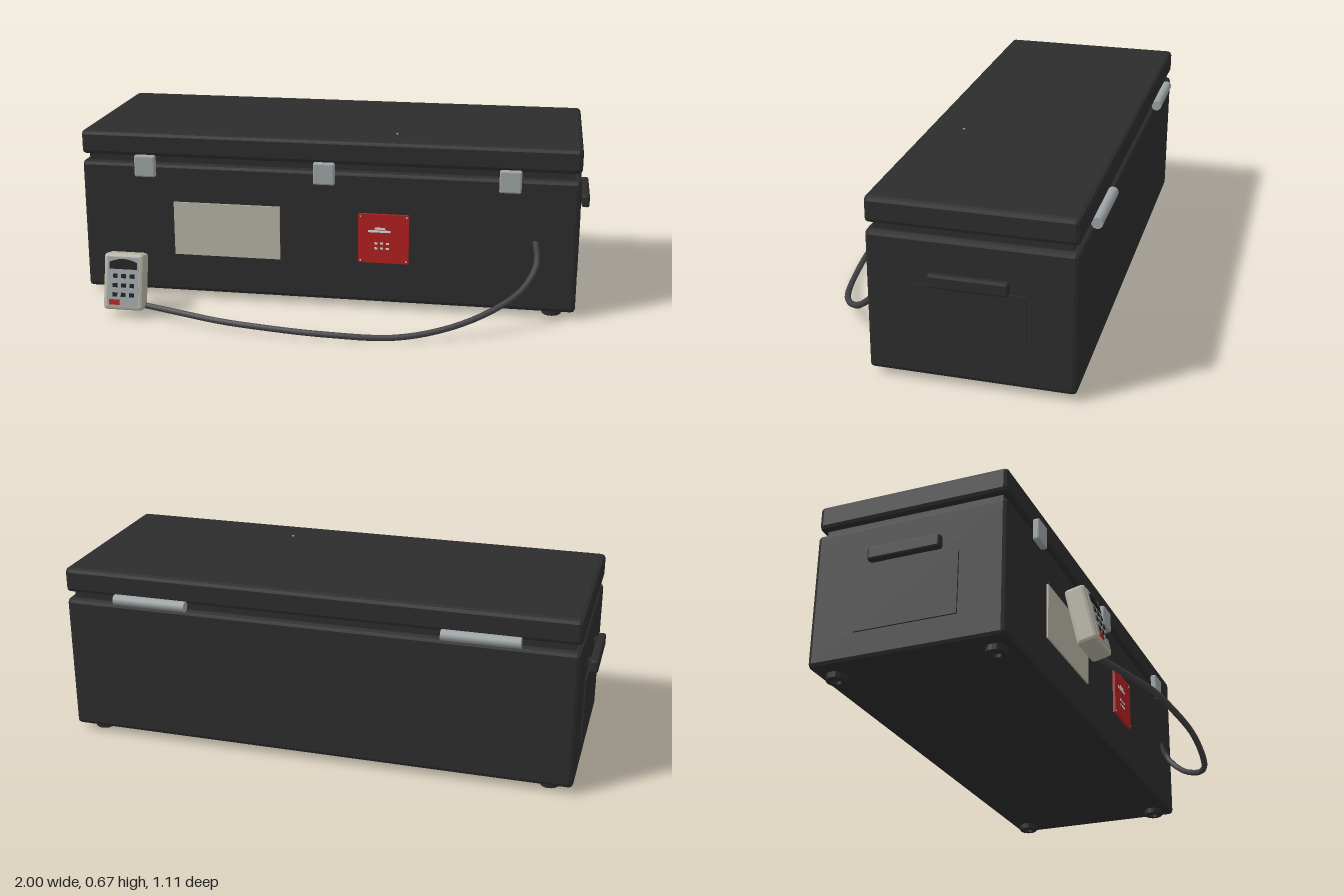
import * as THREE from 'three';
import { RoundedBoxGeometry } from 'three/addons/geometries/RoundedBoxGeometry.js';

const paint = (name, color) => Object.assign(new THREE.MeshStandardMaterial({ color }), { name });

export function createModel() {
  const root = new THREE.Group();
  root.name = 'storageChest';

  const black = paint('black shell', 0x2c2c2c);
  const rubber = paint('dark rubber', 0x1c1c1d);
  const cableGrey = paint('cable grey', 0x424245);
  const beige = paint('beige', 0xb8b4a5);
  const silver = paint('silver', 0x9da4a5);
  const red = paint('red', 0xb32020);
  const white = paint('off white', 0xdcdcd8);

  function add(name, geometry, material, x, y, z, parent = root) {
    const mesh = new THREE.Mesh(geometry, material);
    mesh.name = name;
    mesh.position.set(x, y, z);
    parent.add(mesh);
    return mesh;
  }
  const box = (w, h, d) => new THREE.BoxGeometry(w, h, d);
  // Box with flat chamfered edges
  function chamfered(w, h, d, c) {
    const g = new RoundedBoxGeometry(w, h, d, 1, c);
    g.computeVertexNormals();
    return g;
  }

  // Chest shell: body, recessed seal and lid
  const midZ = -0.16;
  add('body', chamfered(1.92, 0.52, 0.73, 0.016), black, 0, 0.285, midZ);
  add('lidSeal', box(1.87, 0.05, 0.68), black, 0, 0.557, midZ);
  add('lid', chamfered(1.92, 0.095, 0.73, 0.016), black, 0, 0.6175, midZ);
  add('lidPin', new THREE.CylinderGeometry(0.005, 0.005, 0.006, 8), silver, 0.26, 0.665, 0.07);

  // Feet with a recessed underside
  const footProfile = [[0, 0.012], [0.018, 0.012], [0.018, 0], [0.034, 0], [0.038, 0.004], [0.038, 0.03]]
    .map(([r, y]) => new THREE.Vector2(r, y));
  const footGeometry = new THREE.LatheGeometry(footProfile, 16).toNonIndexed();
  footGeometry.computeVertexNormals();
  for (const x of [-0.872, 0.872])
    for (const z of [0.138, -0.457]) add('foot', footGeometry, black, x, 0, z);

  // Side panels, handles and rear hinges
  for (const side of [-1, 1]) {
    add('sidePanel', box(0.01, 0.242, 0.384), black, side * 0.961, 0.251, midZ);
    add('handleGrip', chamfered(0.03, 0.05, 0.276, 0.008), black, side * 0.985, 0.404, -0.161);
    for (const z of [-0.06, -0.262])
      add('handleMount', box(0.03, 0.03, 0.03), black, side * 0.965, 0.404, z);

    const hinge = add('hinge', new THREE.CylinderGeometry(0.02, 0.02, 0.28, 12), silver, side * 0.615, 0.567, -0.537);
    hinge.rotation.z = Math.PI / 2;
  }

  // Front latches
  for (const x of [-0.7, 0, 0.7])
    add('latch', chamfered(0.082, 0.085, 0.026, 0.006), silver, x, 0.538, 0.221);

  // Front label plates
  add('blankPlate', box(0.42, 0.213, 0.008), beige, -0.385, 0.288, 0.207);
  add('redPlate', box(0.194, 0.194, 0.014), red, 0.228, 0.288, 0.208);
  const face = 0.2155;
  add('plateBar', box(0.085, 0.009, 0.002), white, 0.212, 0.318, face);
  add('plateBar', box(0.04, 0.008, 0.002), white, 0.215, 0.329, face);
  for (const x of [0.2, 0.222, 0.244])
    for (const y of [0.25, 0.27]) add('plateMark', box(0.012, 0.008, 0.002), white, x, y, face);
  for (const x of [0.14, 0.316])
    for (const y of [0.2, 0.376]) add('plateRivet', box(0.005, 0.005, 0.002), white, x, y, face);

  // Leaning hand controller
  const controller = new THREE.Group();
  controller.name = 'controller';
  controller.position.set(-0.735, 0.132, 0.408);
  controller.rotation.x = -0.22;
  root.add(controller);
  add('controllerCase', chamfered(0.154, 0.216, 0.074, 0.012), beige, 0, 0, 0, controller);
  add('controllerFace', box(0.122, 0.188, 0.004), silver, 0, 0, 0.037, controller);
  const screen = new THREE.Shape();
  screen.moveTo(-0.054, -0.018);
  screen.lineTo(0.054, -0.018);
  screen.lineTo(0.054, 0.008);
  screen.quadraticCurveTo(0, 0.034, -0.054, 0.008);
  add('controllerScreen', new THREE.ExtrudeGeometry(screen, { depth: 0.003, bevelEnabled: false, curveSegments: 6 }),
    rubber, 0, 0.067, 0.038, controller);
  for (const x of [-0.03, 0.003, 0.036])
    for (const y of [0.023, -0.013, -0.049])
      add('keypadButton', box(0.018, 0.016, 0.005), rubber, x, y, 0.04, controller);
  add('redButton', box(0.04, 0.02, 0.006), red, -0.032, -0.078, 0.04, controller);

  // Cable from the chest front to the controller
  const cablePoints = [
    [0.8, 0.305, 0.2], [0.81, 0.23, 0.235], [0.765, 0.155, 0.305], [0.69, 0.108, 0.37],
    [0.53, 0.05, 0.455], [0.32, 0.014, 0.515], [0.05, 0.02, 0.543], [-0.2, 0.028, 0.53],
    [-0.35, 0.033, 0.51], [-0.5, 0.036, 0.465], [-0.68, 0.04, 0.41],
  ].map((p) => new THREE.Vector3(...p));
  add('cable', new THREE.TubeGeometry(new THREE.CatmullRomCurve3(cablePoints), 40, 0.012, 8), cableGrey, 0, 0, 0);

  return root;
}
